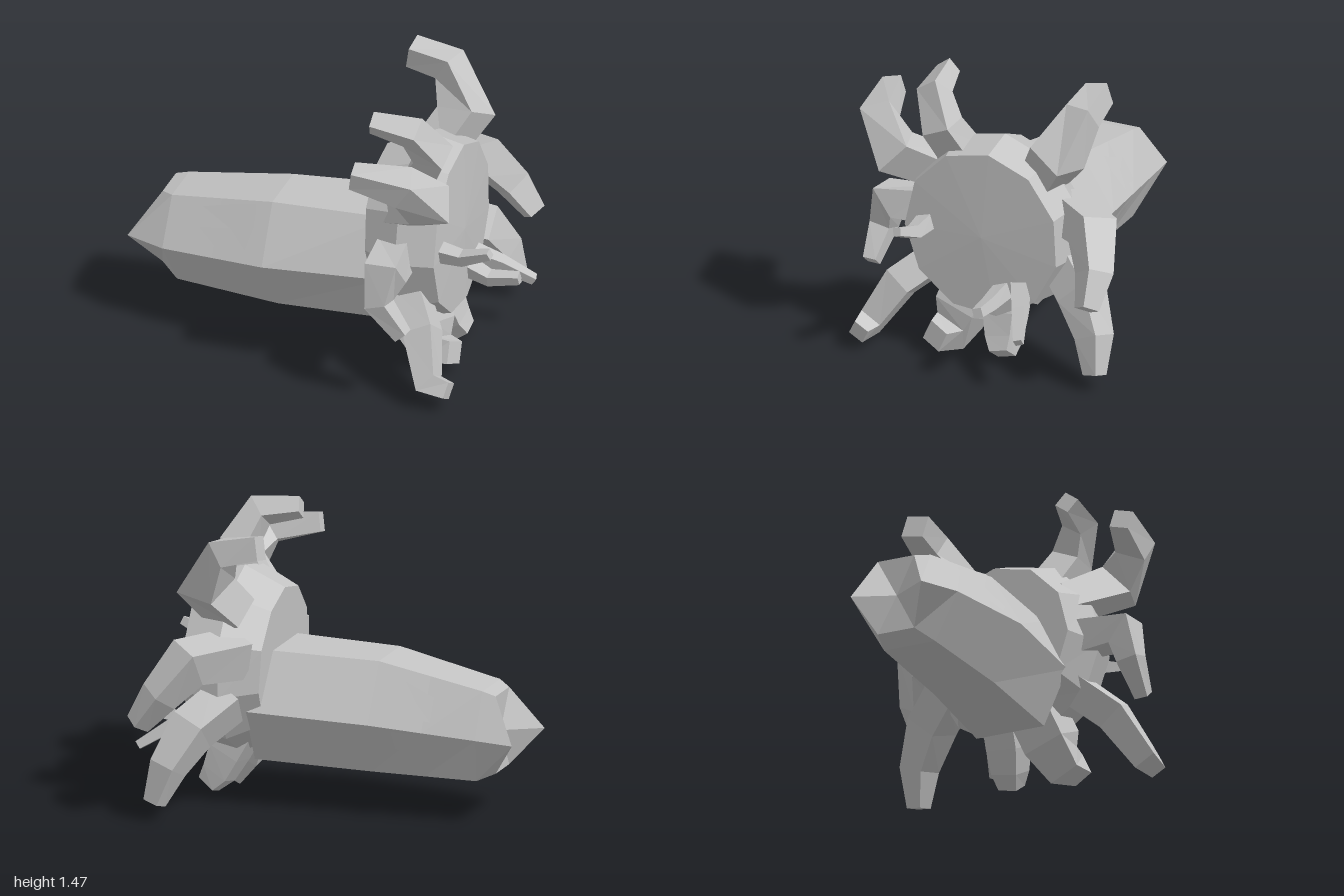
import * as THREE from 'three';

const hide = new THREE.MeshStandardMaterial({ color: 0xc4c4c4 });
hide.name = 'grey hide';

const V = (x, y, z) => new THREE.Vector3(x, y, z);

// Faceted mesh from a flat list of triangle corners
function facetMesh(name, corners) {
  const geo = new THREE.BufferGeometry().setFromPoints(corners);
  geo.computeVertexNormals();
  const mesh = new THREE.Mesh(geo, hide);
  mesh.name = name;
  return mesh;
}

// Skin a row of rings (each counter-clockwise about the direction of travel) and close both ends
function loft(name, rings, startCentre, endCentre) {
  const tris = [], n = rings[0].length;
  const centre = ring => ring.reduce((s, p) => s.add(p), V(0, 0, 0)).divideScalar(n);
  const last = rings[rings.length - 1];
  const c0 = startCentre || centre(rings[0]), c1 = endCentre || centre(last);
  for (let j = 0; j < n; j++) {
    const k = (j + 1) % n;
    for (let i = 0; i < rings.length - 1; i++) {
      const a = rings[i], b = rings[i + 1];
      tris.push(a[j], a[k], b[j], a[k], b[k], b[j]);
    }
    tris.push(c0, rings[0][k], rings[0][j], c1, last[j], last[k]);
  }
  return facetMesh(name, tris);
}

// Tapered four-sided limb along points [x, y, z, radius]
function limb(name, path) {
  const pts = path.map(p => V(p[0], p[1], p[2]));
  let normal = V(1, 0.2, 0.1);
  const rings = pts.map((p, i) => {
    const t = V(0, 0, 0);
    if (i > 0) t.add(p.clone().sub(pts[i - 1]).normalize());
    if (i < pts.length - 1) t.add(pts[i + 1].clone().sub(p).normalize());
    t.normalize();
    if (i === 0 && Math.abs(t.x) > 0.8) normal = V(0, 1, 0.3);
    normal = normal.clone().addScaledVector(t, -normal.dot(t)).normalize();
    const side = t.clone().cross(normal), r = path[i][3];
    return [0, 1, 2, 3].map(k => {
      const a = Math.PI / 4 + k * Math.PI / 2;
      return p.clone().addScaledVector(normal, r * Math.cos(a)).addScaledVector(side, r * Math.sin(a));
    });
  });
  return loft(name, rings);
}

// Six-sided body section: top, ridge and bottom edges on the +z side, then on the -z side
const section = (xs, ys, front, back) => [
  ...[0, 1, 2].map(i => V(xs[i], ys[i], front[i])),
  ...[2, 1, 0].map(i => V(xs[i], ys[i], back[i])),
];

export function createModel() {
  const model = new THREE.Group();
  model.name = 'tentacledWorm';

  // Body, with a forked tail end
  const tail = section([-0.85, -1, -0.85], [0.65, 0.425, 0.25], [0.06, 0.165, 0.06], [-0.14, -0.235, -0.14]);
  tail[4].x = -0.97;
  const rear = section([-0.78, -0.78, -0.75], [0.67, 0.44, 0.205], [0.12, 0.267, 0.13], [-0.14, -0.25, -0.15]);
  const belly = section([-0.22, -0.22, -0.19], [0.77, 0.48, 0.2], [0.2, 0.363, 0.2], [-0.115, -0.29, -0.13]);
  const neck = section([0.4, 0.41, 0.42], [0.79, 0.505, 0.22], [0.2, 0.333, 0.2], [-0.17, -0.335, -0.17]);
  const flank = rear.map((p, i) => p.clone().lerp(belly[i], 0.5));
  model.add(loft('body', [tail, rear, flank, belly, neck], V(-0.84, 0.45, -0.04)));

  // Thin patches on the flanks, laid on a body face between edges a and b
  const patch = (name, a, b, outline) => {
    const pts = outline.map(([x, v]) => {
      const u = (x + 0.78) / 0.56;
      return rear[a].clone().lerp(belly[a], u).lerp(rear[b].clone().lerp(belly[b], u), v);
    });
    const mid = pts.reduce((s, p) => s.add(p), V(0, 0, 0)).divideScalar(pts.length);
    const normal = pts[0].clone().sub(mid).cross(pts[1].clone().sub(mid)).normalize();
    if (normal.dot(V(0, mid.y - 0.46, mid.z)) < 0) { normal.negate(); pts.reverse(); }
    [mid, ...pts].forEach(p => p.addScaledVector(normal, 0.013));
    model.add(facetMesh(name, pts.flatMap((p, i) => [mid, p, pts[(i + 1) % pts.length]])));
  };
  const lower = [[-0.59, 0.03], [-0.25, 0.03], [-0.28, 0.4], [-0.555, 0.38]];
  patch('frontUpperPatch', 0, 1, [[-0.59, 0.16], [-0.43, 0.08], [-0.3, 0.05], [-0.29, 0.4],
    [-0.32, 0.8], [-0.38, 0.95], [-0.49, 0.8], [-0.59, 0.53]]);
  patch('frontLowerPatch', 1, 2, lower);
  patch('backUpperPatch', 5, 4, [[-0.54, 0.35], [-0.48, 0.3], [-0.38, 0.2], [-0.375, 0.45],
    [-0.42, 0.85], [-0.47, 0.8], [-0.54, 0.8]]);
  patch('backLowerPatch', 4, 3, lower.map(([x, v]) => [-0.445 + (x + 0.42) * 0.58, v]));

  // Head: a faceted drum facing +x
  const sides = 11;
  const headRing = (x, r, lean) => Array.from({ length: sides }, (_, j) => {
    const a = -0.09 + j * 2 * Math.PI / sides;
    return V(x - lean * Math.cos(a), 0.7 + r * Math.cos(a), 0.005 + r * 0.95 * Math.sin(a));
  });
  model.add(loft('head', [headRing(0.33, 0.385, 0.02), headRing(0.52, 0.485, 0), headRing(0.715, 0.445, 0)],
    undefined, V(0.73, 0.686, 0)));

  // Tentacles around the rim of the head
  const tentacles = {
    upperBack: [[0.5, 0.98, -0.25, 0.13], [0.61, 1.15, -0.365, 0.15], [0.49, 1.35, -0.45, 0.1], [0.29, 1.39, -0.45, 0.085]],
    upperFront: [[0.52, 0.98, 0.16, 0.12], [0.65, 1.22, 0.25, 0.11], [0.57, 1.37, 0.33, 0.09], [0.36, 1.4, 0.35, 0.06]],
    highFront: [[0.48, 0.9, 0.29, 0.11], [0.71, 1.06, 0.48, 0.14], [0.62, 1.21, 0.61, 0.11], [0.36, 1.25, 0.65, 0.07]],
    middleFront: [[0.5, 0.7, 0.36, 0.12], [0.52, 0.7, 0.6, 0.12], [0.5, 0.54, 0.64, 0.08], [0.63, 0.39, 0.65, 0.05]],
    lowFront: [[0.53, 0.48, 0.28, 0.11], [0.67, 0.33, 0.47, 0.11], [0.75, 0.115, 0.6, 0.085], [0.86, 0.1, 0.615, 0.06]],
    bottomFront: [[0.5, 0.4, 0.1, 0.16], [0.58, 0.2, 0.17, 0.16], [0.64, 0.095, 0.21, 0.12], [0.76, 0.11, 0.24, 0.08]],
    bottomBack: [[0.5, 0.38, -0.06, 0.12], [0.59, 0.22, -0.07, 0.12], [0.64, 0.11, -0.085, 0.1], [0.69, 0.05, -0.1, 0.07]],
    lowBack: [[0.5, 0.56, -0.34, 0.13], [0.63, 0.44, -0.51, 0.13], [0.72, 0.26, -0.62, 0.1], [0.78, 0.08, -0.65, 0.06]],
    middleBack: [[0.45, 0.8, -0.32, 0.14], [0.63, 0.8, -0.57, 0.135], [0.76, 0.63, -0.64, 0.1], [0.87, 0.48, -0.65, 0.065]],
  };
  for (const [name, path] of Object.entries(tentacles)) model.add(limb(name + 'Tentacle', path));

  // Slim feelers on the face
  const feelers = [
    [[0.68, 0.71, 0.31, 0.06], [0.83, 0.7, 0.32, 0.045], [0.985, 0.76, 0.345, 0.03]],
    [[0.68, 0.42, -0.12, 0.06], [0.83, 0.38, -0.09, 0.045], [0.985, 0.4, -0.1, 0.035]],
    [[0.68, 0.45, -0.2, 0.06], [0.83, 0.38, -0.26, 0.045], [0.985, 0.28, -0.325, 0.03]],
  ];
  feelers.forEach((path, i) => model.add(limb('feeler' + (i + 1), path)));

  return model;
}
